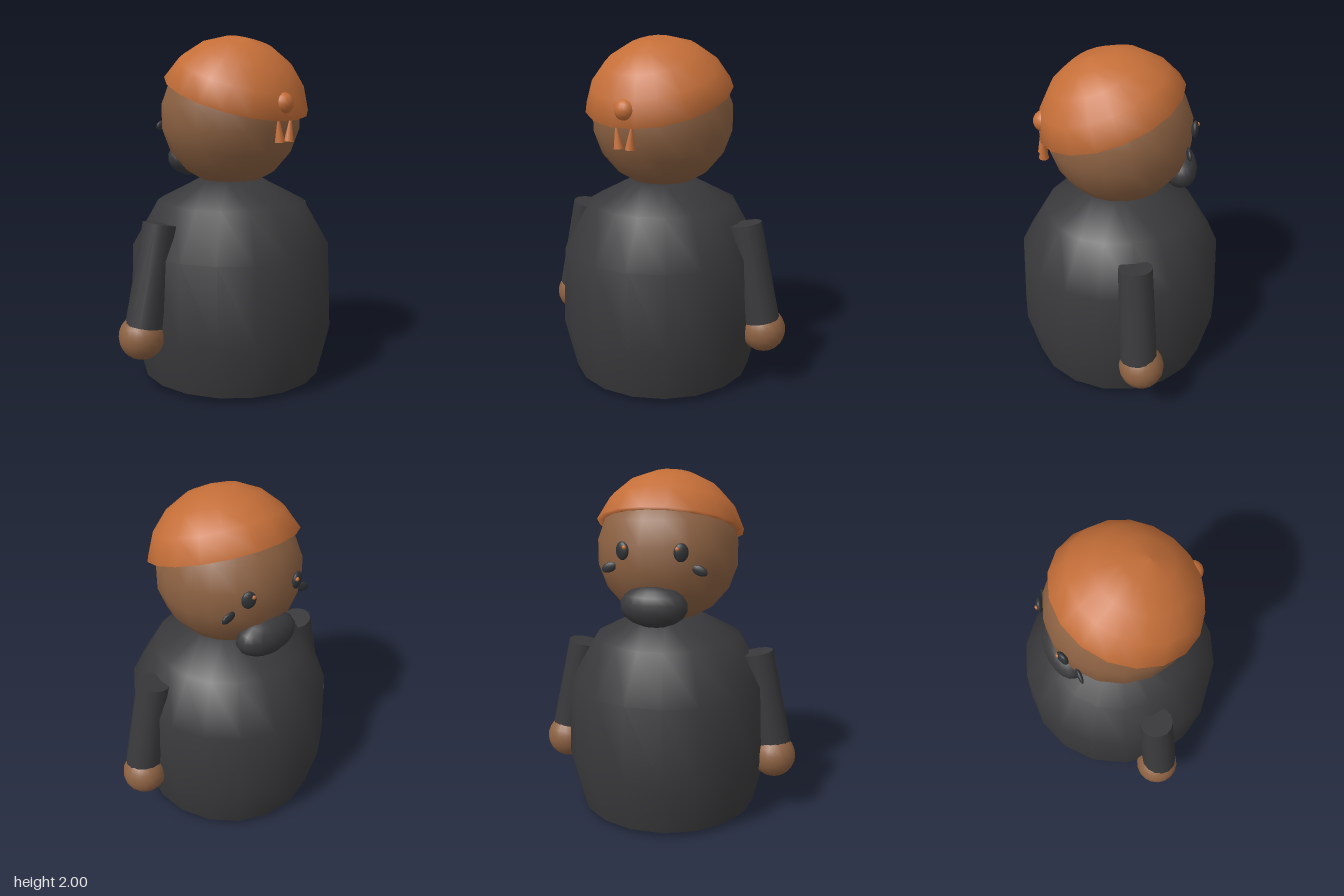
import * as THREE from 'three';

const mat = (name, color) => {
  const m = new THREE.MeshStandardMaterial({ color });
  m.name = name;
  return m;
};

export function createModel() {
  const root = new THREE.Group();
  const robe = mat('charcoal', 0x39393b);
  const skin = mat('brown skin', 0x8c6142);
  const cloth = mat('orange cloth', 0xc46e38);
  const dark = mat('dark features', 0x2f3235);

  const add = (name, geometry, material, pos = [0, 0, 0], parent = root) => {
    const mesh = new THREE.Mesh(geometry, material);
    mesh.name = name;
    mesh.position.set(...pos);
    parent.add(mesh);
    return mesh;
  };
  const ellipsoid = (name, material, pos, [rx, ry, rz], w = 18, h = 9) =>
    add(name, new THREE.SphereGeometry(1, w, h).scale(rx, ry, rz), material, pos);
  const lathe = (pts) =>
    new THREE.LatheGeometry(pts.map(([r, y]) => new THREE.Vector2(r, y)), 18, Math.PI / 18);
  // Cylinder or cone running between two points
  const limb = (name, material, a, b, rTop, rBottom, sides) => {
    const top = new THREE.Vector3(...a), bottom = new THREE.Vector3(...b);
    const dir = top.clone().sub(bottom);
    const mesh = add(name, new THREE.CylinderGeometry(rTop, rBottom, dir.length(), sides), material);
    mesh.position.copy(top).add(bottom).multiplyScalar(0.5);
    mesh.quaternion.setFromUnitVectors(new THREE.Vector3(0, 1, 0), dir.normalize());
    return mesh;
  };

  // Rounded robe with a flat base
  add('body', lathe([[0.537, 0.03], [0.608, 0.33], [0.59, 0.78], [0.435, 1.05], [0.19, 1.175], [0, 1.18]]), robe)
    .scale.x = 0.985;
  add('bodyBase', new THREE.CircleGeometry(0.537, 18, Math.PI / 18 + Math.PI / 2).rotateX(Math.PI / 2), robe, [0, 0.03, 0]);

  // Head
  const headY = 1.54;
  add('head', new THREE.SphereGeometry(0.409, 18, 9), skin, [0, headY, 0]);

  // Head wrap: tilted dome whose rim turns in to the head
  const R = 0.443, rim = THREE.MathUtils.degToRad(74);
  const dome = [[0.37, R * Math.cos(rim) - 0.005]];
  for (let i = 4; i >= 0; i--) {
    const t = (rim * i) / 4;
    dome.push([R * Math.sin(t), R * Math.cos(t)]);
  }
  add('headWrap', lathe(dome), cloth, [0, 1.555, 0.008]).rotation.x = THREE.MathUtils.degToRad(20);
  add('knot', new THREE.SphereGeometry(0.06, 16, 10), cloth, [0, 1.62, 0.415]);

  // Muzzle-like beard
  ellipsoid('beard', robe, [0, 1.283, -0.34], [0.19, 0.118, 0.105]);

  for (const s of [-1, 1]) {
    // Knot tails
    limb('knotTail', cloth, [s * 0.05, 1.56, 0.43], [s * 0.035, 1.412, 0.43], 0.002, 0.028, 10);

    // Eyes turned to follow the head, with a small glint
    const eye = ellipsoid('eye', dark, [s * 0.16, 1.585, -0.385], [0.04, 0.05, 0.02], 14, 9);
    eye.rotation.y = s * -0.35;
    ellipsoid('eyeGlint', cloth, [s * 0.143, 1.605, -0.405], [0.012, 0.012, 0.01], 8, 6);

    // Cheek spots
    const cheek = ellipsoid('cheekSpot', dark, [s * 0.25, 1.485, -0.335], [0.045, 0.027, 0.013], 14, 9);
    cheek.rotation.z = s * -0.4;

    // Arms, hands and feet
    limb('sleeve', robe, [s * 0.527, 0.968, 0], [s * 0.64, 0.41, -0.005], 0.095, 0.106, 14);
    add('hand', new THREE.SphereGeometry(0.129, 18, 12), skin, [s * 0.647, 0.348, -0.02]);
    ellipsoid('foot', robe, [s * 0.2, 0.1, -0.1], [0.14, 0.1, 0.21]);
  }

  return root;
}
